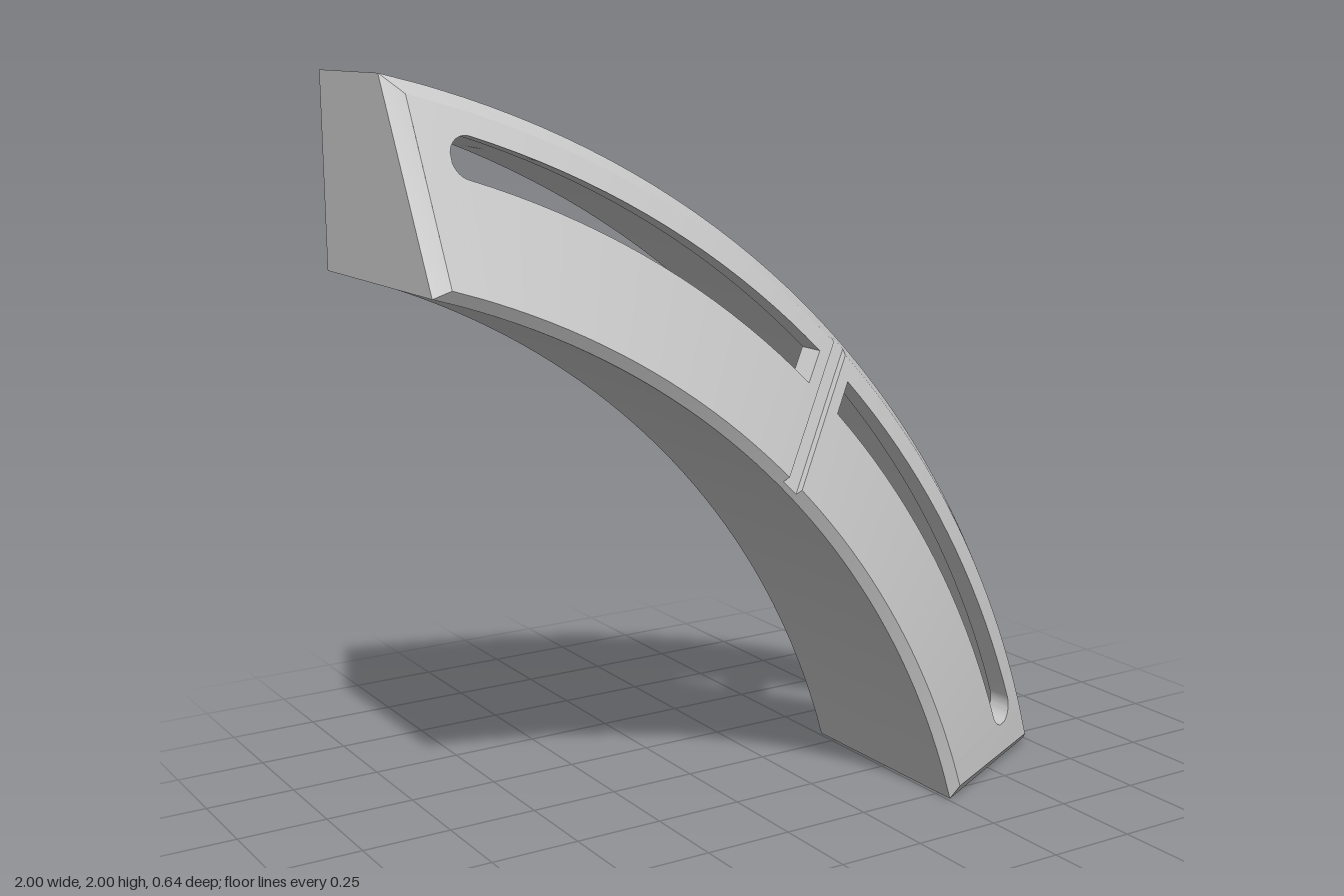
import * as THREE from 'three';
import { toCreasedNormals } from 'three/addons/utils/BufferGeometryUtils.js';

// Curved housing: arcs share one centre; it is mirrored about the 45 degree diagonal
const CX = -1.61, CY = -0.61, END = 0.61;
const R_OUT = 2.68, R_IN = 2.206, WALL = 0.08, BACK = -0.32;
const SLOT_R = 2.54, SLOT_HALF = 0.05, SLOT_START = 0.065, SLOT_END = 0.474;
const GROOVE_HALF = 0.027;

const slope = r => 0.32 - 0.537 * (r - 2.235);              // conical front face
const endAngle = (r, inset) => Math.PI / 4 - Math.asin((END + inset) / r);
const SLOT_LIMIT = endAngle(SLOT_R, 0.04);

// Closed cross-section: [radius, z, inset from the end, belongs to slot edge]
function section(a, b, groove) {
  const ri = R_IN + WALL, ro = R_OUT - WALL, drop = groove ? 0.02 : 0;
  return [
    [R_OUT, BACK, 0], [R_OUT, 0.04, 0],
    groove ? [2.662, 0.071, 0.04] : [2.645, 0.1, 0.04],
    [b, slope(b) - drop, 0.04, true], [a, slope(a) - drop, 0.04, true],
    groove ? [2.219, 0.309, 0.04] : [2.235, 0.32, 0.04],
    [R_IN, 0.3, 0], [R_IN, BACK, 0],
    [ri, BACK, WALL], [ri, slope(ri) - WALL, WALL],
    [a, slope(a) - WALL, 0.04, true], [b, slope(b) - WALL, 0.04, true],
    [ro, slope(ro) - WALL, WALL], [ro, BACK, WALL],
  ];
}

// Local point: u across the diagonal, v along it
const place = (r, phi, z) => new THREE.Vector3(r * Math.sin(phi), r * Math.cos(phi), z);

// Column of points parallel to the diagonal at distance d
function straightColumn(d, groove) {
  return section(SLOT_R - SLOT_HALF, SLOT_R + SLOT_HALF, groove)
    .map(([r, z]) => place(r, Math.asin(d / r), z));
}

// Column fanned between the slot start and the end of the housing
function fanColumn(phi, half) {
  const s0 = Math.asin(SLOT_START / SLOT_R);
  const k = (phi - s0) / (SLOT_LIMIT - s0);
  return section(SLOT_R - half, SLOT_R + half, false).map(([r, z, inset, slot]) => {
    const s = Math.asin(SLOT_START / r);
    const e = slot ? SLOT_LIMIT : endAngle(r, inset);
    return place(r, s + k * (e - s), z);
  });
}

function housingGeometry() {
  const pos = [];
  const toWorld = (p, side) => {
    const u = p.x * side;
    pos.push(CX + (p.y - u) * Math.SQRT1_2, CY + (p.y + u) * Math.SQRT1_2, p.z);
  };
  const tri = (a, b, c) => {
    const area = b.clone().sub(a).cross(c.clone().sub(a)).length();
    if (area < 1e-8) return;
    [a, b, c].forEach(p => toWorld(p, 1));
    [a, c, b].forEach(p => toWorld(p, -1));
  };
  const quad = (a, b, c, d) => { tri(a, b, c); tri(a, c, d); };

  // Columns from the middle groove to the end
  const cols = [
    straightColumn(0, true), straightColumn(GROOVE_HALF, true),
    straightColumn(GROOVE_HALF, false), straightColumn(SLOT_START, false),
  ];
  const slotFrom = cols.length - 1;
  const s0 = Math.asin(SLOT_START / SLOT_R);
  for (let i = 1; i <= 18; i++) {
    cols.push(fanColumn(s0 + (SLOT_END - s0) * i / 18, SLOT_HALF));
  }
  for (let i = 1; i <= 9; i++) {                             // rounded slot end
    const t = i / 9 * Math.PI / 2;
    const half = i === 9 ? 0 : SLOT_HALF * Math.cos(t);
    cols.push(fanColumn(SLOT_END + SLOT_HALF * Math.sin(t) / SLOT_R, half));
  }
  const slotTo = cols.length - 1;
  cols.push(fanColumn(SLOT_LIMIT, 0));

  // Skin between columns, leaving the slot open and adding its side walls
  for (let j = 0; j < cols.length - 1; j++) {
    const A = cols[j], B = cols[j + 1];
    const strip = (i, k) => quad(A[i], B[i], B[k], A[k]);
    const open = j >= slotFrom && j < slotTo;
    for (let i = 0; i < A.length; i++) {
      if (!open || (i !== 3 && i !== 10)) strip(i, (i + 1) % A.length);
    }
    if (open) { strip(3, 11); strip(10, 4); }
  }

  // Square slot end, then end wall, end chamfer, back rim and inside of the end wall
  const face = (c, ids) => quad(...ids.map(i => c[i]));
  face(cols[slotFrom], [3, 11, 10, 4]);
  const last = cols[cols.length - 1];
  [[0, 7, 6, 1], [1, 6, 5, 2], [0, 13, 8, 7], [13, 12, 9, 8]].forEach(ids => face(last, ids));

  const g = new THREE.BufferGeometry();
  g.setAttribute('position', new THREE.Float32BufferAttribute(pos, 3));
  return toCreasedNormals(g, 0.3);
}

export function createModel() {
  const group = new THREE.Group();
  group.name = 'slottedArcCover';
  const mesh = new THREE.Mesh(housingGeometry(), new THREE.MeshStandardMaterial({ color: 0xcccccc }));
  mesh.name = 'arcHousing';
  group.add(mesh);
  return group;
}
